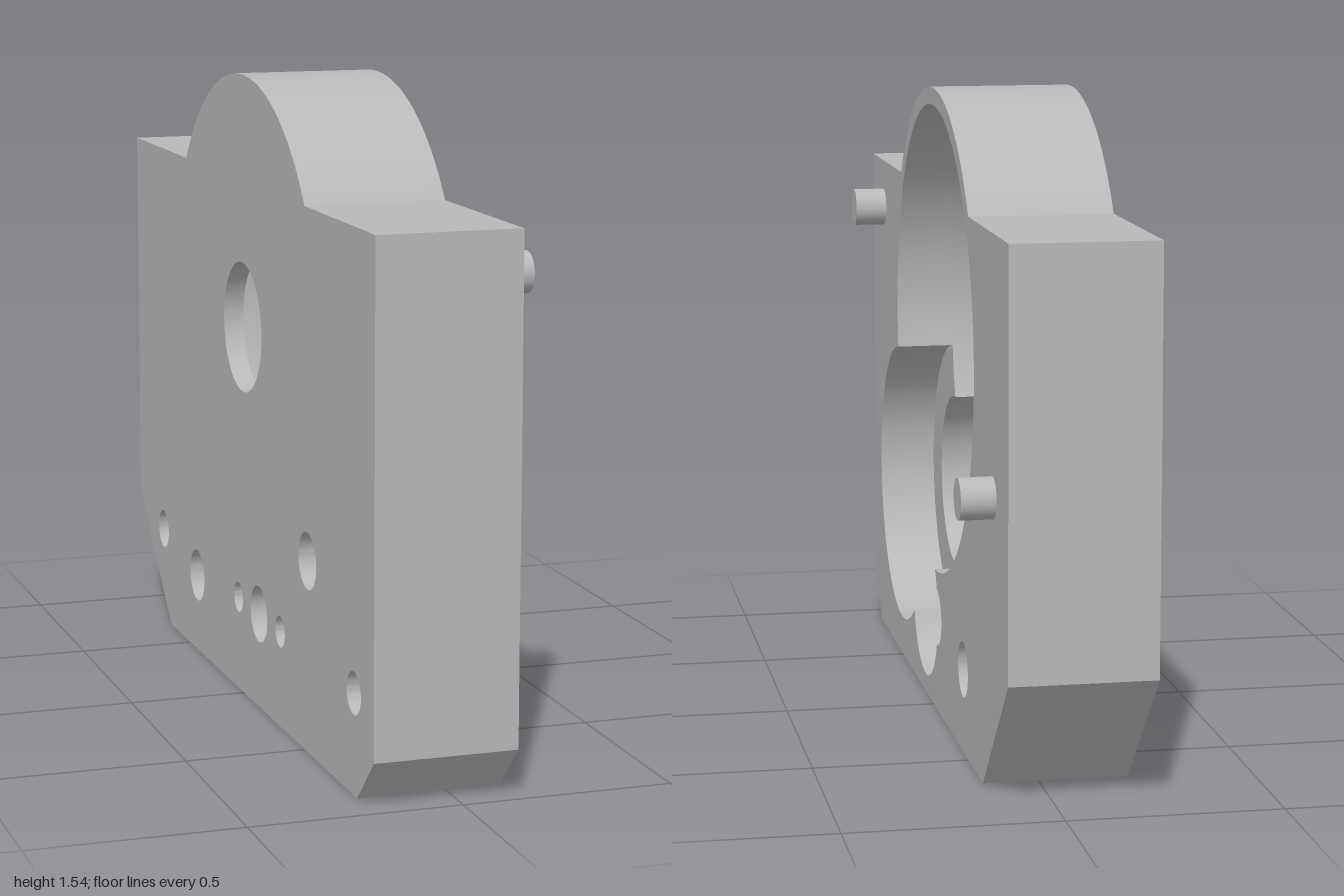
import * as THREE from 'three';
import { toCreasedNormals } from 'three/addons/utils/BufferGeometryUtils.js';

// Shapes are drawn in (u, y) with u = -z, then extruded along +x.
const circle = (u, y, r) => ({ u, y, r });
const TAU = Math.PI * 2;
const turn = (a) => ((a % TAU) + TAU) % TAU;

// Outline of the union of overlapping circles, walked counter-clockwise.
function unionPath(circles) {
  const start = circles.reduce((a, b) => (b.u - b.r < a.u - a.r ? b : a));
  const pts = [];
  let c = start, angle = Math.PI;
  for (let step = 0; step < 40; step++) {
    let sweep = c === start ? turn(Math.PI - angle) || TAU : Infinity;
    let next = null;
    for (const d of circles) {
      if (d === c) continue;
      const dist = Math.hypot(d.u - c.u, d.y - c.y);
      const k = (dist * dist + c.r * c.r - d.r * d.r) / (2 * dist * c.r);
      if (Math.abs(k) >= 1) continue;
      const s = turn(Math.atan2(d.y - c.y, d.u - c.u) - Math.acos(k) - angle);
      if (s > 1e-6 && s < sweep) { sweep = s; next = d; }
    }
    const n = Math.max(2, Math.ceil(sweep / TAU * (c.r > 0.3 ? 120 : 48)));
    for (let i = 0; i < n; i++) {
      const a = angle + sweep * i / n;
      pts.push(new THREE.Vector2(c.u + c.r * Math.cos(a), c.y + c.r * Math.sin(a)));
    }
    if (!next) break;
    const end = angle + sweep;
    const eu = c.u + c.r * Math.cos(end), ey = c.y + c.r * Math.sin(end);
    c = next;
    angle = Math.atan2(ey - c.y, eu - c.u);
  }
  return new THREE.Path(pts);
}

// Plate outline: chamfered lower corners and a round crown
function plateShape() {
  const s = new THREE.Shape();
  s.moveTo(-1, 0.115);
  s.lineTo(-0.885, 0);
  s.lineTo(0.69, 0);
  s.lineTo(1, 0.31);
  s.lineTo(1, 1.285);
  const a = Math.asin(0.36 / 0.617);
  s.absarc(0, 0.925, 0.617, a, Math.PI - a, false);
  s.lineTo(-1, 1.285);
  s.closePath();
  return s;
}

export function createModel() {
  const group = new THREE.Group();
  group.name = 'gearHousing';
  const metal = new THREE.MeshStandardMaterial({ color: 0xb8b8b8 });
  metal.name = 'light grey metal';

  // Pockets
  const mainPocket = circle(0, 0.925, 0.575);
  const sideStep = circle(-0.52, 0.46, 0.36);
  const sidePocket = circle(-0.52, 0.46, 0.225);
  const lowerPocket = circle(-0.13, 0.235, 0.19);
  const channel = circle(-0.364, 0.293, 0.05);
  const boreA = circle(-0.305, 0.235, 0.07);
  const boreB = circle(0.045, 0.235, 0.07);

  // Holes
  const shaft = circle(0, 0.925, 0.16);
  const sideHole = circle(-0.52, 0.46, 0.068);
  const lowerHole = circle(-0.13, 0.235, 0.07);
  const mountHole = circle(0.425, 0.2, 0.067);
  const screwA = circle(-0.305, 0.235, 0.038);
  const screwB = circle(0.045, 0.235, 0.038);
  const dowels = [circle(0.757, 0.25, 0.05), circle(-0.86, 0.237, 0.05)];

  // Each layer is the plate outline with its own cut-outs
  const layer = (name, x0, x1, cuts) => {
    const shape = plateShape();
    for (const cut of cuts) shape.holes.push(unionPath([].concat(cut)));
    const geo = new THREE.ExtrudeGeometry(shape, { depth: x1 - x0, bevelEnabled: false, curveSegments: 64 });
    geo.rotateY(Math.PI / 2);
    geo.translate(x0, 0, 0);
    const mesh = new THREE.Mesh(toCreasedNormals(geo, 0.5), metal);
    mesh.name = name;
    group.add(mesh);
  };
  layer('backPlate', -0.21, -0.16,
    [shaft, sideHole, lowerHole, mountHole, screwA, screwB, ...dowels]);
  layer('pocketFloorLayer', -0.16, -0.14,
    [[mainPocket, sidePocket], lowerHole, mountHole, screwA, screwB, ...dowels]);
  layer('boreLayer', -0.14, -0.015,
    [[mainPocket, sidePocket, channel, boreA], boreB, lowerHole, mountHole, ...dowels]);
  layer('openLayer', -0.015, 0.13,
    [[mainPocket, sideStep, lowerPocket, boreA, boreB], mountHole]);

  // Locating pins
  for (const [y, z] of [[1.16, 0.815], [0.695, -0.815]]) {
    const geo = new THREE.CylinderGeometry(0.048, 0.048, 0.09, 40);
    geo.rotateZ(-Math.PI / 2);
    const pin = new THREE.Mesh(geo, metal);
    pin.position.set(0.165, y, z);
    pin.name = 'locatingPin';
    group.add(pin);
  }
  return group;
}
